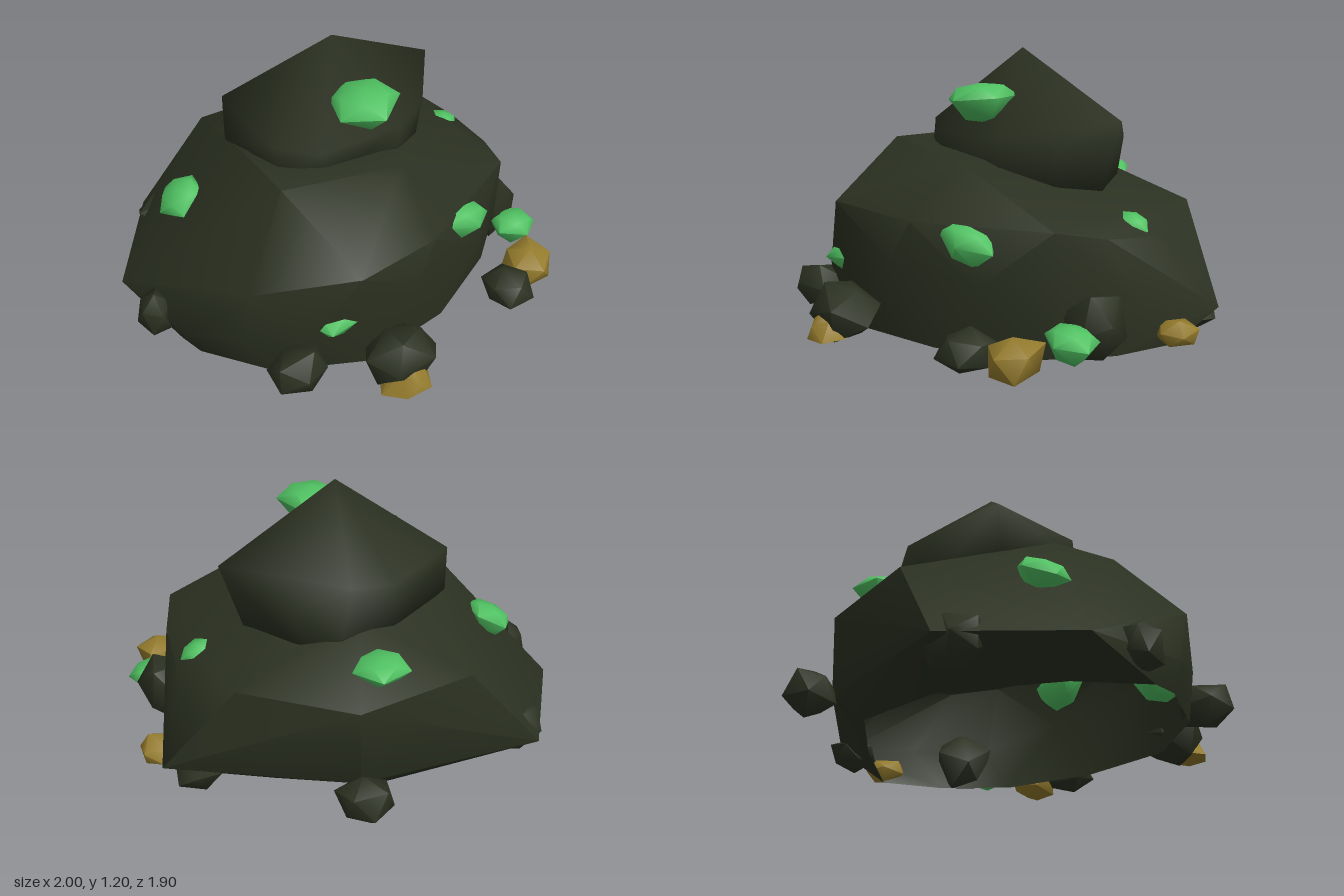
import * as THREE from 'three';
import { toCreasedNormals } from 'three/addons/utils/BufferGeometryUtils.js';
import { ConvexGeometry } from 'three/addons/geometries/ConvexGeometry.js';

const material = (name, color, side = THREE.FrontSide) => {
  const m = new THREE.MeshStandardMaterial({ color, side });
  m.name = name;
  return m;
};

// Convex rock through a few corner points
function rock(points) {
  return new ConvexGeometry(points.map(p => new THREE.Vector3(...p)));
}

// Remove the faces lying on the ground
function openBottom(geometry) {
  const p = geometry.attributes.position.array;
  const kept = [];
  for (let i = 0; i < p.length; i += 9) {
    if (Math.max(p[i + 1], p[i + 4], p[i + 7]) > 0.001) kept.push(...p.slice(i, i + 9));
  }
  const open = new THREE.BufferGeometry();
  open.setAttribute('position', new THREE.Float32BufferAttribute(kept, 3));
  return open;
}

// Centre a geometry on a point and give it an exact size
function fit(geometry, center, size) {
  geometry.center();
  geometry.computeBoundingBox();
  const b = geometry.boundingBox.getSize(new THREE.Vector3());
  geometry.scale(size[0] / b.x, size[1] / b.y, size[2] / b.z);
  return geometry.translate(...center);
}

// Uneven pebble
function pebble(seed, center, size) {
  let s = seed * 7919 + 17;
  const random = () => (s = (s * 16807) % 2147483647) / 2147483647;
  for (let i = 0; i < 5; i++) random();
  const base = new THREE.IcosahedronGeometry(1, 0).attributes.position;
  const turn = new THREE.Euler(random() * 3, random() * 3, random() * 3);
  const corners = new Map();
  for (let i = 0; i < base.count; i++) {
    const v = new THREE.Vector3().fromBufferAttribute(base, i);
    const key = v.toArray().map(n => n.toFixed(2)).join();
    if (!corners.has(key)) corners.set(key, v.applyEuler(turn).multiplyScalar(0.85 + 0.35 * random()));
  }
  return fit(new ConvexGeometry([...corners.values()]), center, size);
}

// Lens-shaped crystal: a pointed rim between two smaller caps, turned about y and tilted about z
function crystal(center, size, turn, tilt) {
  const points = [];
  const ring = (n, r, y, start) => {
    for (let i = 0; i < n; i++) {
      const a = start + (i / n) * Math.PI * 2;
      points.push([r * Math.cos(a), y, r * Math.sin(a)]);
    }
  };
  ring(5, 1, 0.1, turn);
  ring(5, 0.65, 0.42, turn + 0.5);
  ring(4, 0.5, -0.45, turn + 0.3);
  points.push([0, 0.5, 0], [0, -0.55, 0]);
  return fit(rock(points).rotateZ(tilt), center, size);
}

export function createModel() {
  const model = new THREE.Group();
  const stone = material('dark stone', 0x2b3121, THREE.DoubleSide);
  const green = material('green crystal', 0x50c262);
  const gold = material('gold ore', 0x957c2d);

  const add = (name, geometry, mat, crease) => {
    const mesh = new THREE.Mesh(toCreasedNormals(geometry, crease), mat);
    mesh.name = name;
    model.add(mesh);
  };

  // Wide lower boulder, open underneath
  add('lowerBoulder', openBottom(rock([
    // ground ring
    [0.88, 0, -0.13], [0.5, 0, -0.42], [0.13, 0, -0.64], [-0.31, 0, -0.56], [-0.7, 0, -0.21],
    [-0.86, 0, 0.08], [-0.83, 0, 0.2], [-0.62, 0, 0.48], [-0.25, 0, 0.66], [0.2, 0, 0.61],
    [0.6, 0, 0.42], [0.8, 0, 0.15],
    // bulging sides
    [0.97, 0.14, -0.32], [0.24, 0.12, -0.74], [-0.62, 0.09, -0.78], [-0.96, 0.09, -0.31],
    [-0.88, 0.12, 0.2], [-0.71, 0.18, 0.43], [-0.53, 0.22, 0.59], [0, 0.35, 0.68],
    [0.42, 0.3, 0.57], [0.71, 0.2, 0.36], [0.86, 0.18, 0],
    // shoulders
    [0.25, 0.48, -0.75], [-0.28, 0.51, -0.73], [0.68, 0.54, -0.47], [0.68, 0.54, 0.4],
    [0.81, 0.46, -0.12], [0.77, 0.49, 0.18], [-0.32, 0.56, 0.71], [0.1, 0.53, 0.65], [-0.7, 0.45, 0.43],
    // crown
    [-0.43, 0.78, 0.27], [-0.42, 0.77, -0.05], [0.12, 0.745, 0.38], [0.1, 0.69, -0.42],
  ])), stone, 0.82);

  // Pointed upper boulder
  add('upperBoulder', rock([
    [0.05, 1.2, -0.07], [0.6, 0.92, -0.1], [0.38, 0.8, -0.39], [0.15, 0.88, -0.46], [-0.05, 0.85, -0.45],
    [-0.37, 0.9, -0.32], [-0.41, 0.8, -0.1], [-0.35, 0.86, 0.1], [-0.2, 0.83, 0.22],
    [0.2, 0.84, 0.24], [0.42, 0.82, 0.12],
    [0.5, 0.6, -0.1], [0.35, 0.6, -0.38], [0.2, 0.62, -0.46], [-0.05, 0.62, -0.45], [-0.38, 0.68, -0.3],
    [-0.35, 0.7, 0.12], [-0.15, 0.68, 0.22], [0.2, 0.66, 0.23], [0.4, 0.6, 0.1],
  ]), stone, 1.9);

  // Loose pieces: centre, size
  const scatter = (name, mat, list) =>
    list.forEach(([c, s], i) => add(name + (i + 1), pebble(i + 3 + name.length * 11, c, s), mat, 1.1));

  scatter('looseStone', stone, [
    [[-0.93, 0.115, -0.03], [0.14, 0.21, 0.17]],
    [[-0.58, 0.11, 0.61], [0.24, 0.22, 0.24]],
    [[-0.17, 0.125, 0.79], [0.36, 0.25, 0.27]],
    [[0.505, 0.095, 0.71], [0.2, 0.18, 0.22]],
    [[0.78, 0.145, 0.24], [0.24, 0.29, 0.27]],
    [[0.265, 0.11, -0.84], [0.23, 0.22, 0.22]],
    [[0.82, 0.08, -0.34], [0.2, 0.15, 0.2]],
    [[-0.57, 0.1, -0.65], [0.27, 0.2, 0.23]],
  ]);

  scatter('goldNugget', gold, [
    [[0.69, 0.09, 0.635], [0.22, 0.18, 0.23]],
    [[0.92, 0.07, -0.1], [0.16, 0.13, 0.2]],
  ]);

  // Peaked nugget leaning on the front stone
  add('peakedNugget', rock([
    [-0.32, 0.01, 0.86], [-0.24, 0.11, 0.89], [-0.19, 0.16, 0.88], [-0.13, 0.11, 0.9], [-0.08, 0.03, 0.87],
    [-0.24, 0.01, 0.94], [-0.12, 0.02, 0.95], [-0.19, 0.08, 0.95], [-0.26, 0.02, 0.76], [-0.13, 0.02, 0.76],
    [-0.19, 0.13, 0.79],
  ]), gold, 1.1);

  // Crystals: centre, size, turn, tilt
  [
    [[0.045, 0.975, 0.2], [0.31, 0.17, 0.3], Math.PI / 2, 0.1],
    [[0.34, 0.455, 0.54], [0.29, 0.18, 0.2], 0.1, -0.2],
    [[-0.37, 0.27, 0.56], [0.27, 0.16, 0.24], 0.9, 0.1],
    [[0.79, 0.11, 0.425], [0.23, 0.15, 0.2], 0.3, -0.1],
    [[0.1, 0.57, -0.61], [0.24, 0.12, 0.24], -1.2, 0],
    [[-0.64, 0.46, -0.285], [0.2, 0.17, 0.23], 2, 0.4],
    [[0.71, 0.485, -0.06], [0.15, 0.13, 0.15], 0, -0.2],
  ].forEach(([c, s, turn, tilt], i) => add('greenCrystal' + (i + 1), crystal(c, s, turn, tilt), green, 1.35));

  return model;
}
